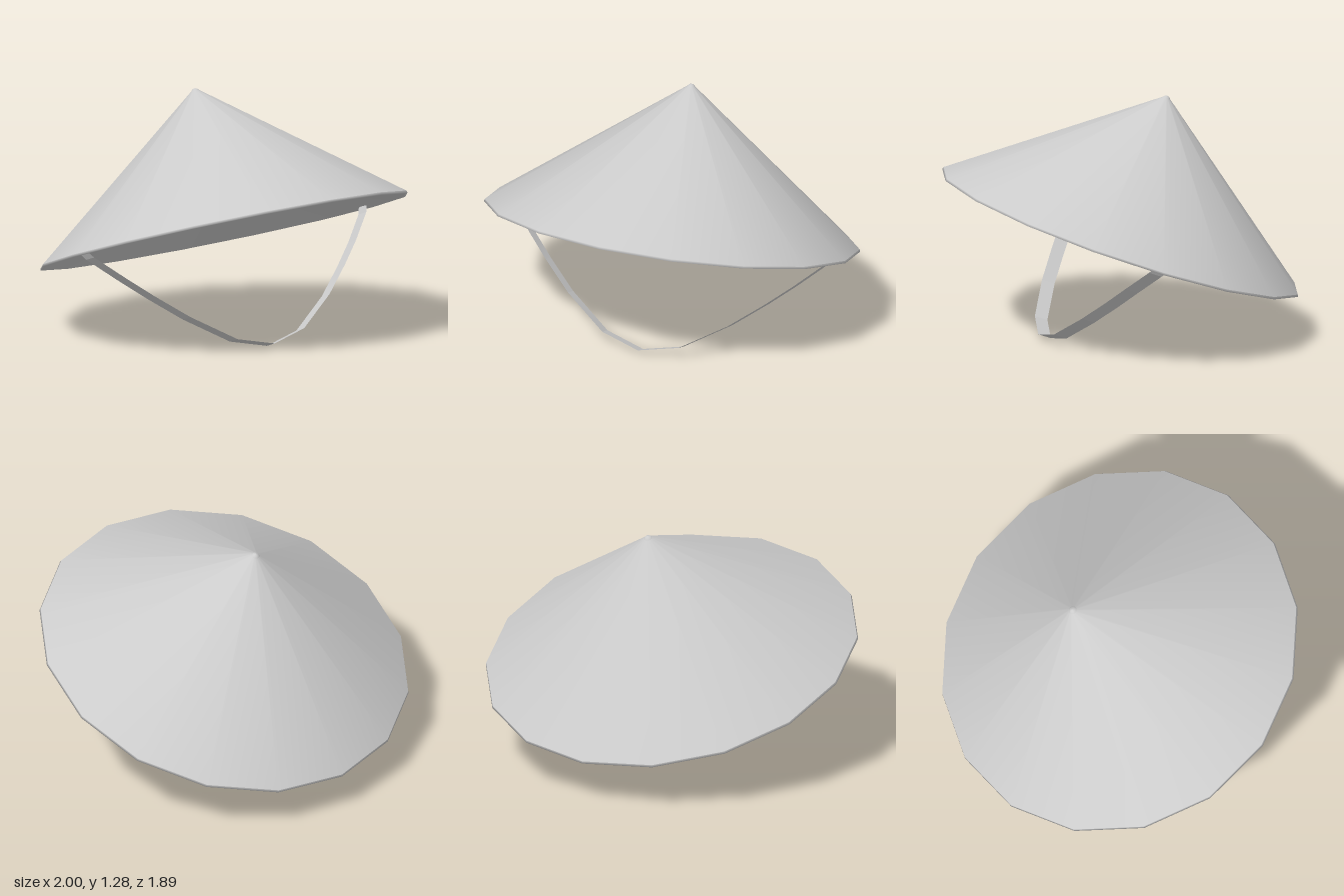
import * as THREE from 'three';

const SIDES = 16;
const material = new THREE.MeshStandardMaterial({ color: 0xcccccc });
const strapMaterial = new THREE.MeshStandardMaterial({
  color: 0xcccccc, side: THREE.DoubleSide, flatShading: true,
});

// Surface of revolution from [radius, height] pairs
function turned(name, profile) {
  const points = profile.map(([r, h]) => new THREE.Vector2(r, h));
  const mesh = new THREE.Mesh(new THREE.LatheGeometry(points, SIDES), material);
  mesh.name = name;
  return mesh;
}

// Flat ribbon following a path, widened along one fixed direction
function ribbon(name, path, halfWidth) {
  const geometry = new THREE.PlaneGeometry(1, 1, path.length - 1, 1);
  const position = geometry.attributes.position;
  const p = new THREE.Vector3();
  path.forEach((centre, i) => {
    p.copy(centre).add(halfWidth);
    position.setXYZ(i, p.x, p.y, p.z);
    p.copy(centre).sub(halfWidth);
    position.setXYZ(i + path.length, p.x, p.y, p.z);
  });
  geometry.computeVertexNormals();
  const mesh = new THREE.Mesh(geometry, strapMaterial);
  mesh.name = name;
  return mesh;
}

export function createModel() {
  const model = new THREE.Group();
  model.name = 'conicalHat';

  // Hat, tipped back so that the front of the brim is raised
  const hat = new THREE.Group();
  hat.name = 'hat';
  hat.position.y = 0.555;
  hat.rotation.x = -0.3375;
  hat.add(
    turned('outerCone', [[0.996, 0.012], [0.022, 0.758]]),
    turned('roundedTip', [[0.022, 0.758], [0.013, 0.768], [0, 0.772]]),
    turned('brimEdge', [[0.985, -0.002], [1, 0], [0.996, 0.012]]),
    turned('underside', [[0.385, 0.138], [0.985, -0.002]]),
    turned('innerCone', [[0, 0.745], [0.96, 0.012]]),
  );
  model.add(hat);

  // Chin strap: one half from brim to chin, mirrored to the other side
  const half = [
    [0.925, 0.57, -0.01], [0.9, 0.535, 0.02], [0.76, 0.42, 0.115], [0.63, 0.32, 0.19],
    [0.46, 0.2, 0.28], [0.22, 0.065, 0.375],
  ].map((c) => new THREE.Vector3(...c));
  const mirrored = half.map((c) => new THREE.Vector3(-c.x, c.y, c.z)).reverse();
  const path = [...half, new THREE.Vector3(0, 0.018, 0.408), ...mirrored];
  model.add(ribbon('chinStrap', path, new THREE.Vector3(0, 0.0125, 0.034)));

  return model;
}
